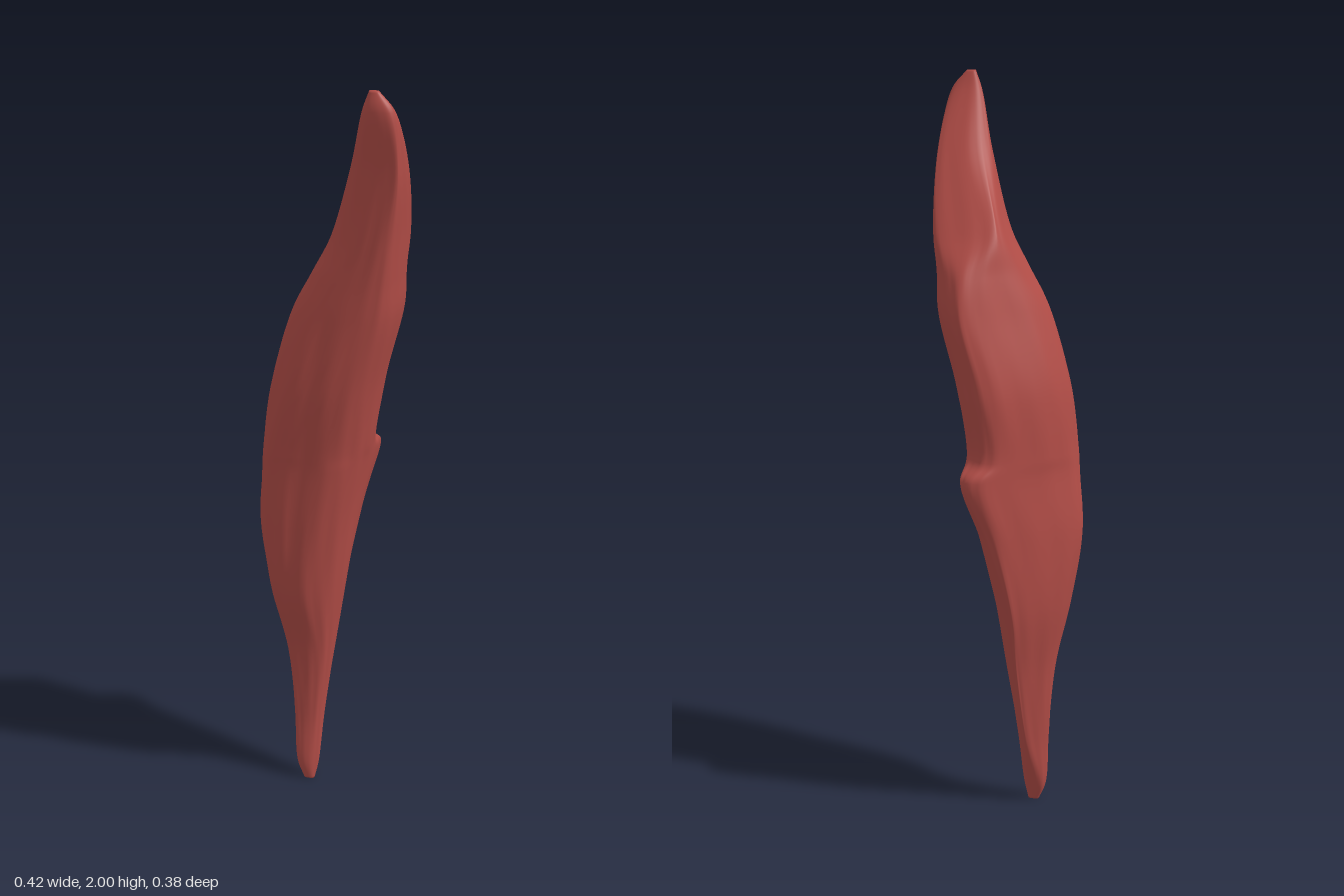
import * as THREE from 'three';

// Sections from bottom to top: y, then the extents [min, max] of x, z, x+z and x-z.
const SECTIONS = [
  [0.0, -0.10, -0.07, 0.01, 0.03, -0.085, -0.045, -0.125, -0.085],
  [0.05, -0.12, -0.06, -0.005, 0.035, -0.115, -0.045, -0.145, -0.07],
  [0.2, -0.13, -0.05, -0.045, 0.025, -0.13, -0.046, -0.145, -0.03],
  [0.4, -0.145, -0.025, -0.09, 0.035, -0.165, -0.023, -0.17, 0.023],
  [0.6, -0.185, 0.005, -0.135, 0.09, -0.21, 0.023, -0.246, 0.077],
  [0.8, -0.21, 0.035, -0.165, 0.115, -0.215, 0.077, -0.277, 0.155],
  [0.97, -0.195, 0.07, -0.19, 0.127, -0.2, 0.125, -0.283, 0.235],
  [1.02, -0.19, 0.08, -0.16, 0.133, -0.2, 0.137, -0.283, 0.18],
  [1.2, -0.17, 0.115, -0.165, 0.155, -0.185, 0.2, -0.26, 0.2],
  [1.4, -0.11, 0.165, -0.16, 0.158, -0.12, 0.27, -0.2, 0.245],
  [1.5, -0.06, 0.175, -0.13, 0.158, -0.085, 0.295, -0.145, 0.235],
  [1.6, -0.01, 0.185, -0.06, 0.16, -0.045, 0.32, -0.09, 0.22],
  [1.8, 0.065, 0.205, 0.06, 0.17, 0.16, 0.37, -0.06, 0.135],
  [1.95, 0.11, 0.195, 0.145, 0.19, 0.27, 0.37, -0.06, 0.035],
  [2.0, 0.13, 0.155, 0.165, 0.18, 0.3, 0.33, -0.045, -0.015],
];
const PER_SIDE = 8;
const AROUND = 8 * PER_SIDE;
const ROWS = 140;

// Rounded eight-sided outline that touches each of the eight extent lines
function outline([y, x0, x1, z0, z1, s0, s1, d0, d1]) {
  const corners = [
    [x1, x1 - d1], [x1, s1 - x1], [s1 - z1, z1], [z1 + d0, z1],
    [x0, x0 - d0], [x0, s0 - x0], [s0 - z0, z0], [z0 + d1, z0],
  ];
  const points = [];
  for (let k = 0; k < 8; k++) {
    const a = corners[(k + 7) % 8], b = corners[k], c = corners[(k + 1) % 8];
    for (let i = 0; i < PER_SIDE; i++) {
      const t = i / PER_SIDE;
      const wa = (1 - t) ** 2 / 2, wc = t * t / 2, wb = 1 - wa - wc;
      points.push(new THREE.Vector3(
        wa * a[0] + wb * b[0] + wc * c[0], y, wa * a[1] + wb * b[1] + wc * c[1]));
    }
  }
  return points;
}

// Shallow lengthwise fibres and one long slanting groove on the front
function fibreDepth(p, j) {
  const fade = Math.sin(Math.PI * THREE.MathUtils.clamp(p.y / 2, 0, 1));
  const angle = j / AROUND * Math.PI * 2;
  const fibres = 0.0015 * Math.sin(11 * angle + 7 * p.y) + 0.001 * Math.sin(17 * angle - 13 * p.y);
  const grooveX = -0.14 + (p.y - 0.55) * 0.16;
  const onFront = j > AROUND * 0.14 && j < AROUND * 0.5 && p.y > 0.5 && p.y < 1.5;
  const groove = onFront
    ? 0.009 * Math.exp(-(((p.x - grooveX) / 0.02) ** 2)) * Math.sin(Math.PI * (p.y - 0.5)) : 0;
  return fade * fibres - groove;
}

function bellyGeometry() {
  const outlines = SECTIONS.map(outline);
  const strands = Array.from({ length: AROUND }, (_, j) =>
    new THREE.CatmullRomCurve3(outlines.map((o) => o[j])));
  const positions = [], index = [];
  for (let i = 0; i <= ROWS; i++) {
    const ring = strands.map((s) => s.getPoint(i / ROWS));
    const centre = ring.reduce((c, p) => c.add(p), new THREE.Vector3()).divideScalar(AROUND);
    ring.forEach((p, j) => {
      const out = p.clone().sub(centre).setY(0).normalize();
      p.addScaledVector(out, fibreDepth(p, j));
      positions.push(p.x, p.y, p.z);
      if (i === ROWS) return;
      const a = i * AROUND + j, b = i * AROUND + (j + 1) % AROUND;
      index.push(a, a + AROUND, b, b, a + AROUND, b + AROUND);
    });
  }
  // End caps
  const bottom = positions.length / 3, top = bottom + 1, last = ROWS * AROUND;
  positions.push(-0.085, 0, 0.02, 0.1425, 2, 0.1725);
  for (let j = 0; j < AROUND; j++) {
    const n = (j + 1) % AROUND;
    index.push(bottom, j, n, top, last + n, last + j);
  }
  const geometry = new THREE.BufferGeometry();
  geometry.setAttribute('position', new THREE.Float32BufferAttribute(positions, 3));
  geometry.setIndex(index);
  geometry.computeVertexNormals();
  return geometry;
}

export function createModel() {
  const muscleRed = new THREE.MeshStandardMaterial({ color: 0xb24d47 });
  muscleRed.name = 'muscle red';
  const belly = new THREE.Mesh(bellyGeometry(), muscleRed);
  belly.name = 'muscleBelly';
  const group = new THREE.Group();
  group.name = 'muscle';
  group.add(belly);
  return group;
}
